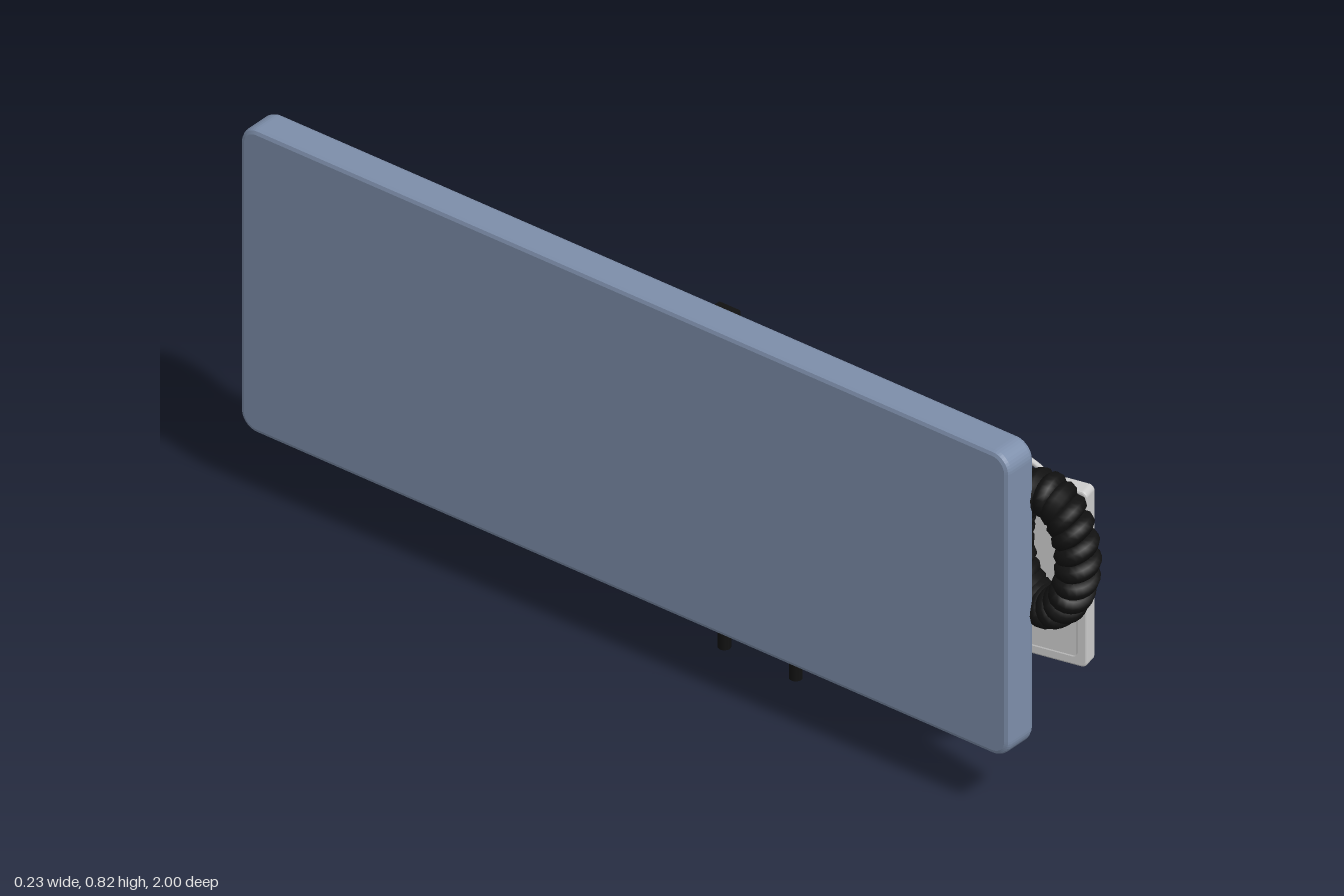
import * as THREE from 'three';
import { RoundedBoxGeometry } from 'three/addons/geometries/RoundedBoxGeometry.js';

const mat = (color, side = THREE.FrontSide) => new THREE.MeshStandardMaterial({ color, side });
const GREY = mat(0xcccccc), BOARD = mat(0x7d8eaa), BLACK = mat(0x111111), DARK = mat(0x444444),
  BLUE = mat(0x7090e0), GREEN = mat(0x108018), CREAM = mat(0xe4e2b4), RED = mat(0xb01010);

function add(parent, name, geometry, material, x = 0, y = 0, z = 0) {
  const m = new THREE.Mesh(geometry, material);
  m.name = name;
  m.position.set(x, y, z);
  parent.add(m);
  return m;
}

function group(parent, name, x = 0, y = 0, z = 0) {
  const g = new THREE.Group();
  g.name = name;
  g.position.set(x, y, z);
  parent.add(g);
  return g;
}

// Box given by its limits, with optionally rounded edges
function box(parent, name, material, x0, x1, y0, y1, z0, z1, r = 0) {
  const s = [x1 - x0, y1 - y0, z1 - z0];
  const geo = r ? new RoundedBoxGeometry(...s, 3, r) : new THREE.BoxGeometry(...s);
  return add(parent, name, geo, material, (x0 + x1) / 2, (y0 + y1) / 2, (z0 + z1) / 2);
}

function roundedRect(path, w, h, r) {
  const a = w / 2 - r, b = h / 2 - r;
  path.absarc(a, b, r, 0, Math.PI / 2);
  path.absarc(-a, b, r, Math.PI / 2, Math.PI);
  path.absarc(-a, -b, r, Math.PI, Math.PI * 1.5);
  path.absarc(a, -b, r, Math.PI * 1.5, Math.PI * 2);
  path.closePath();
  return path;
}

// Slab standing in the z-y plane, with rounded corners and bevelled edges
function slab(parent, name, material, x0, x1, y0, y1, z0, z1, r, bevel) {
  const shape = roundedRect(new THREE.Shape(), z1 - z0 - 2 * bevel, y1 - y0 - 2 * bevel, r);
  const geo = new THREE.ExtrudeGeometry(shape, {
    depth: x1 - x0 - 2 * bevel, bevelThickness: bevel, bevelSize: bevel, bevelSegments: 2, curveSegments: 5,
  });
  geo.translate(0, 0, bevel);
  geo.rotateY(Math.PI / 2);
  return add(parent, name, geo, material, x0, (y0 + y1) / 2, (z0 + z1) / 2);
}

// Pressure gauge, turned slightly outward, with its coiled hose
function gauge(root) {
  const g = group(root, 'pressureGauge', 0.024, 0.483, 0.72);
  g.rotation.y = 1.784;
  const rim = roundedRect(new THREE.Shape(), 0.424, 0.396, 0.012);
  rim.holes.push(roundedRect(new THREE.Path(), 0.376, 0.35, 0.006));
  const rimGeo = new THREE.ExtrudeGeometry(rim, {
    depth: 0.028, bevelThickness: 0.004, bevelSize: 0.004, bevelOffset: -0.004, bevelSegments: 2, curveSegments: 4,
  });
  add(g, 'gaugeRim', rimGeo, GREY, 0, 0, -0.014);
  add(g, 'gaugeBack', new THREE.BoxGeometry(0.4, 0.375, 0.02), GREY, 0, 0, -0.007);
  add(g, 'gaugeFace', new THREE.BoxGeometry(0.38, 0.354, 0.006), BLACK, 0, 0, 0.006);
  const ring = new THREE.Shape().absarc(0, 0, 0.167, 0, Math.PI * 2);
  ring.holes.push(new THREE.Path().absarc(0, 0, 0.134, 0, Math.PI * 2, true));
  add(g, 'gaugeScale', new THREE.ExtrudeGeometry(ring, { depth: 0.008, bevelEnabled: false, curveSegments: 32 }),
    GREY, 0, 0, 0.007);
  const needle = add(g, 'gaugeNeedle', new THREE.BoxGeometry(0.005, 0.105, 0.004), RED, 0.012, -0.05, 0.011);
  needle.rotation.z = 0.2;

  // Hose wound as a helix around an upright oval
  const turns = 22, pts = [];
  for (let i = 0; i < turns * 10; i++) {
    const a = (i / (turns * 10)) * Math.PI * 2, h = a * turns;
    const out = 0.024 * Math.cos(h);
    pts.push(new THREE.Vector3(-0.005 + 0.03 * Math.sin(h), 0.562 + (0.128 + out) * Math.sin(a),
      0.873 + (0.082 + out) * Math.cos(a)));
  }
  const coil = new THREE.CatmullRomCurve3(pts, true);
  add(root, 'coiledHose', new THREE.TubeGeometry(coil, turns * 20, 0.02, 8, true), BLACK);
  const lead = new THREE.CatmullRomCurve3([[0.05, 0.66, 0.87], [0.04, 0.705, 0.82], [0.012, 0.74, 0.735],
    [-0.012, 0.745, 0.715], [-0.032, 0.725, 0.76], [-0.037, 0.69, 0.87]].map(p => new THREE.Vector3(...p)));
  add(root, 'hoseLead', new THREE.TubeGeometry(lead, 40, 0.006, 8), GREY);
}

// Pair of hand instruments hanging in a clip holder
function instruments(root) {
  const g = group(root, 'instrumentHolder');
  slab(g, 'holderPlate', GREY, -0.042, -0.008, 0.307, 0.66, -0.022, 0.333, 0.015, 0.006);
  box(g, 'holderBar', GREY, -0.02, 0.03, 0.466, 0.502, -0.03, 0.343, 0.004);
  // Sections as [name, bottom, top, bottom radius, top radius, material]
  const sections = [
    ['cord', 0, 0.21, 0.013, 0.013, BLACK],
    ['handle', 0.2, 0.39, 0.024, 0.024, BLACK],
    ['grip', 0.385, 0.51, 0.029, 0.029, DARK],
    ['neck', 0.505, 0.62, 0.02, 0.02, DARK],
    ['lowerCollar', 0.53, 0.55, 0.026, 0.026, DARK],
    ['upperCollar', 0.558, 0.58, 0.026, 0.026, DARK],
    ['stem', 0.605, 0.695, 0.026, 0.022, BLACK],
  ];
  for (const z of [0.242, 0.068]) {
    const tool = group(g, 'handInstrument', 0.025, 0, z);
    for (const [name, y0, y1, r0, r1, m] of sections)
      add(tool, name, new THREE.CylinderGeometry(r1, r0, y1 - y0, 24), m, 0, (y0 + y1) / 2, 0);
    box(tool, 'clip', BLUE, -0.035, 0.008, 0.464, 0.504, -0.047, 0.047, 0.004);
  }
  // Slanted viewing head with a small tip
  const head = group(g, 'slantedHead', 0.026, 0.703, 0.26);
  head.rotation.x = -0.25;
  const barrel = add(head, 'headBarrel', new THREE.CylinderGeometry(0.024, 0.033, 0.12, 20), BLACK, 0, 0, 0.005);
  barrel.rotation.x = -Math.PI / 2;
  const tip = add(head, 'headTip', new THREE.CylinderGeometry(0.005, 0.014, 0.03, 16), BLACK, 0, 0.008, -0.068);
  tip.rotation.x = -Math.PI / 2;
  // Upright block head
  const block = new THREE.CylinderGeometry(0.036, 0.046, 0.084, 4);
  block.rotateY(Math.PI / 4);
  add(g, 'blockHead', block.toNonIndexed(), BLACK, 0.018, 0.718, 0.066).geometry.computeVertexNormals();
}

// Row of hanging rods with pointed tips
function rods(root) {
  const g = group(root, 'rodRack');
  box(g, 'rackHead', GREY, -0.042, 0.022, 0.6, 0.653, -0.508, -0.262);
  box(g, 'rackFoot', BLACK, -0.042, 0.008, 0.157, 0.17, -0.492, -0.277);
  for (let i = 0; i < 4; i++) {
    const z = -0.303 - i * 0.055;
    add(g, 'rod', new THREE.CylinderGeometry(0.024, 0.024, 0.44, 24), BLACK, -0.007, 0.385, z);
    add(g, 'rodTip', new THREE.CylinderGeometry(0.015, 0.006, 0.05, 16), BLACK, -0.008, 0.135, z);
  }
}

// Dispenser with cup, beside two small green boxes
function dispenser(root) {
  const g = group(root, 'dispenser');
  slab(g, 'dispenserBack', GREY, -0.042, -0.005, 0.252, 0.52, -0.96, -0.6, 0.012, 0.006);
  box(g, 'sideCase', GREY, -0.03, 0.022, 0.272, 0.43, -0.79, -0.604, 0.008);
  box(g, 'mainCase', GREY, -0.03, 0.058, 0.268, 0.49, -0.952, -0.777, 0.012);
  box(g, 'frontLabel', CREAM, 0.05, 0.062, 0.307, 0.448, -0.908, -0.826);
  box(g, 'backStem', GREY, -0.042, -0.014, 0.5, 0.648, -0.862, -0.782);
  box(g, 'stemCap', GREEN, -0.042, -0.01, 0.645, 0.675, -0.874, -0.768);
  for (const z of [-0.658, -0.731]) {
    const b = add(g, 'greenBox', new THREE.BoxGeometry(0.075, 0.084, 0.064), GREEN, 0.066, 0.464, z);
    b.rotation.z = 0.3;
    add(g, 'boxMount', new THREE.BoxGeometry(0.06, 0.035, 0.035), GREY, 0.01, 0.455, z);
  }
  // Oval cup, flared upward, with a green panel wrapped around its outer side
  const cup = group(g, 'cup', 0.03, 0, -0.858);
  cup.scale.set(0.4, 1, 1);
  add(cup, 'cupBody', new THREE.CylinderGeometry(0.087, 0.058, 0.15, 40), CREAM, 0, 0.555, 0);
  const panel = new THREE.CylinderGeometry(0.087, 0.065, 0.11, 32, 1, true, Math.PI / 2 - 1, 2);
  add(cup, 'cupPanel', panel, mat(0x108018, THREE.DoubleSide), 0.004, 0.543, 0);
}

export function createModel() {
  const root = new THREE.Group();
  root.name = 'wallInstrumentBoard';
  slab(root, 'backBoard', BOARD, -0.118, -0.04, 0.138, 0.822, -1, 0.876, 0.03, 0.01);
  gauge(root);
  instruments(root);
  rods(root);
  dispenser(root);
  return root;
}
